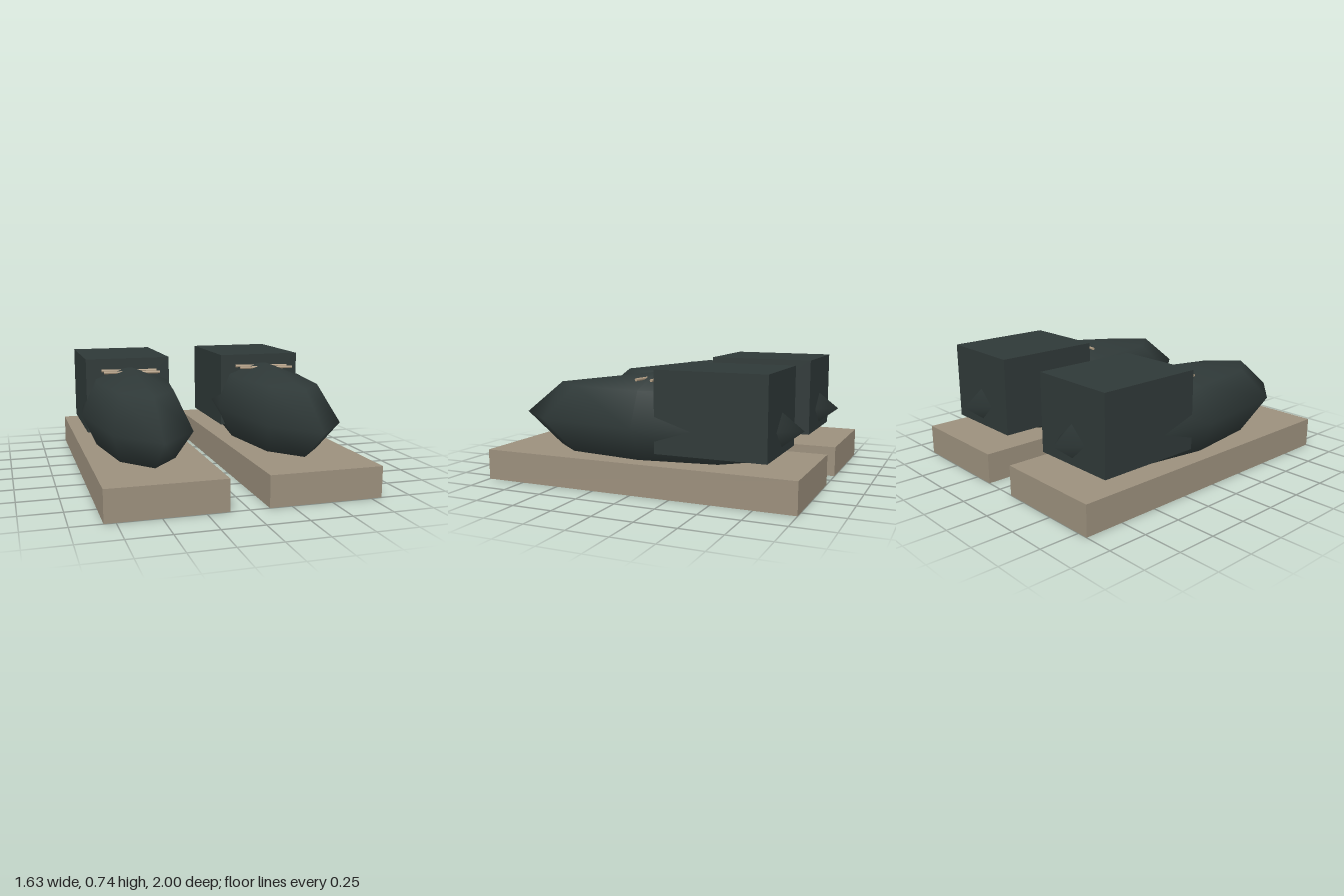
import * as THREE from 'three';

const dark = new THREE.MeshStandardMaterial({ color: 0x2f3938 });
const tan = new THREE.MeshStandardMaterial({ color: 0x9c907d });
const cord = new THREE.MeshStandardMaterial({ color: 0xb09c82 });

function part(parent, name, geometry, material, x, y, z) {
  const mesh = new THREE.Mesh(geometry, material);
  mesh.name = name;
  mesh.position.set(x, y, z);
  parent.add(mesh);
  return mesh;
}

function createShoe(name) {
  const shoe = new THREE.Group();
  shoe.name = name;

  // flat slab sole
  part(shoe, 'sole', new THREE.BoxGeometry(0.7, 0.19, 2), tan, 0, 0.095, 0);

  // coarse stretched ellipsoid with smooth normals
  const upper = new THREE.SphereGeometry(1, 8, 4).scale(0.332, 0.3, 0.94);
  part(shoe, 'upper', upper, dark, 0, 0.39, 0);

  // square ankle block over the heel
  part(shoe, 'ankle', new THREE.BoxGeometry(0.56, 0.49, 0.68), dark, 0, 0.49, -0.468);

  // slanted laces running through the top of the upper
  for (const z of [-0.086, 0.013]) {
    const lace = new THREE.CylinderGeometry(0.009, 0.009, 0.362, 8).rotateZ(Math.PI / 2);
    part(shoe, 'lace', lace, cord, 0, 0.658, z).rotation.y = -0.133;
  }
  return shoe;
}

export function createModel() {
  const model = new THREE.Group();
  model.name = 'pairOfShoes';
  for (const side of [-1, 1]) {
    const shoe = createShoe(side < 0 ? 'rightShoe' : 'leftShoe');
    shoe.position.x = side * 0.467;
    model.add(shoe);
  }
  return model;
}
